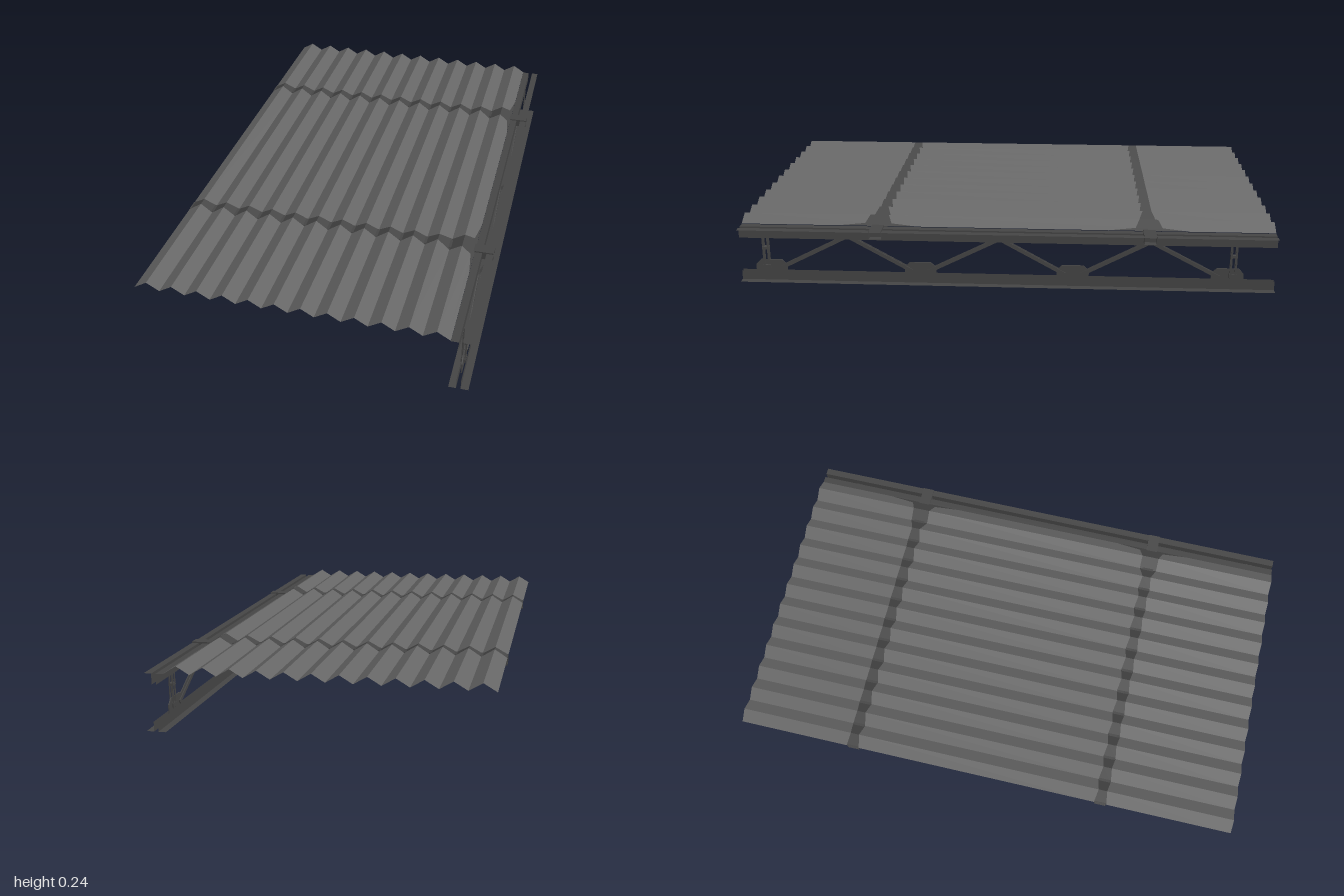
import * as THREE from 'three';

const steel = new THREE.MeshStandardMaterial({ color: 0x464646, side: THREE.DoubleSide, flatShading: true });
steel.name = 'dark steel';
const sheetGrey = new THREE.MeshStandardMaterial({ color: 0x666666, side: THREE.DoubleSide, flatShading: true });
sheetGrey.name = 'sheet grey';

const TRUSS_X = 0.565;
const PURLIN_Z = [0.48, -0.535];

function add(group, name, geometry, material) {
  const mesh = new THREE.Mesh(geometry, material);
  mesh.name = name;
  group.add(mesh);
  return mesh;
}

// Rectangular plate with centre and size; thin sides make folded sheet steel
function plate(group, name, size, pos) {
  return add(group, name, new THREE.BoxGeometry(...size), steel).position.set(...pos);
}

// Open surface from quads given as four corners
function quadSurface(quads) {
  const pos = [];
  for (const [a, b, c, d] of quads) pos.push(...a, ...b, ...c, ...a, ...c, ...d);
  const g = new THREE.BufferGeometry();
  g.setAttribute('position', new THREE.Float32BufferAttribute(pos, 3));
  g.computeVertexNormals();
  return g;
}

// Open-ended surface swept between two z positions from an x,y polyline
function sweepZ(points) {
  const quads = [];
  for (let i = 0; i + 1 < points.length; i++) {
    const [a, b] = [points[i], points[i + 1]];
    quads.push([[...a, 1], [...b, 1], [...b, -1], [...a, -1]]);
  }
  return quadSurface(quads);
}

// Zigzag roof sheet with a dark weathered band above each purlin
function roofSheet() {
  const group = new THREE.Group();
  group.name = 'roofSheet';
  const strips = 24, x0 = -0.6, x1 = 0.53, step = (x1 - x0) / strips;
  const stations = [];
  for (let i = 0; i <= strips; i++) {
    let half = i % 2 ? 0.017 : 0.025;
    if (i >= strips - 2) half = 0.035;
    if (i === strips) half = 0.15;
    stations.push({ x: x0 + i * step, y: i % 2 ? 0.237 : 0.209, half });
    if (i === strips - 1) stations.push({ x: x1 - 0.012, y: 0.216, half: 0.05 });
  }
  const light = [], dark = [];
  const breaks = (s) => [1, ...PURLIN_Z.flatMap((z) => [z + s.half, z - s.half]), -1];
  for (let i = 0; i + 1 < stations.length; i++) {
    const a = stations[i], b = stations[i + 1];
    const za = breaks(a), zb = breaks(b);
    for (let k = 0; k < 5; k++) {
      (k % 2 ? dark : light).push([
        [a.x, a.y, za[k]], [b.x, b.y, zb[k]], [b.x, b.y, zb[k + 1]], [a.x, a.y, za[k + 1]],
      ]);
    }
  }
  add(group, 'corrugatedSheet', quadSurface(light), sheetGrey);
  add(group, 'weatheredBands', quadSurface(dark), steel);
  return group;
}

// Purlin: open-ended box section across the roof
function purlin(z) {
  const group = new THREE.Group();
  group.name = 'purlin';
  const h = 0.023, yb = 0.181, yt = 0.212, c = [[yb, z - h], [yb, z + h], [yt, z + h], [yt, z - h]];
  const quads = c.map((p, i) => {
    const q = c[(i + 1) % 4];
    return [[-0.6, ...p], [-0.6, ...q], [0.6, ...q], [0.6, ...p]];
  });
  add(group, 'purlinShell', quadSurface(quads), steel);
  return group;
}

// Chord: two angles back to back with a slit between them
function chord(name, webY, flangeY) {
  const group = new THREE.Group();
  group.name = name;
  for (const s of [-1, 1]) {
    const web = TRUSS_X + s * 0.008, edge = TRUSS_X + s * 0.035;
    add(group, 'angle', sweepZ([[web, webY], [web, flangeY], [edge, flangeY]]), steel);
  }
  return group;
}

// Chamfered plate joining the web bars to the bottom chord
function gusset(z) {
  const outline = [[-0.06, 0.02], [0.06, 0.02], [0.06, 0.06], [0.04, 0.08], [-0.04, 0.08], [-0.06, 0.06]];
  const shape = new THREE.Shape(outline.map(([u, v]) => new THREE.Vector2(z + u, v)));
  const g = new THREE.ExtrudeGeometry(shape, { depth: 0.004, bevelEnabled: false });
  g.rotateY(-Math.PI / 2);
  g.translate(TRUSS_X + 0.002, 0, 0);
  return g;
}

// Pair of flat bars between two z,y points
function barPair(group, name, [z0, y0], [z1, y1]) {
  const length = Math.hypot(z1 - z0, y1 - y0);
  for (const s of [-1, 1]) {
    const bar = add(group, name, new THREE.BoxGeometry(0.003, 0.014, length), steel);
    bar.position.set(TRUSS_X + s * 0.005, (y0 + y1) / 2, (z0 + z1) / 2);
    bar.rotation.x = -Math.atan2(y1 - y0, z1 - z0);
  }
}

function truss() {
  const group = new THREE.Group();
  group.name = 'truss';
  group.add(chord('topChord', 0.168, 0.207), chord('bottomChord', 0.035, 0));

  const feet = [0.885, 0.318, -0.254, -0.826];
  const peaks = [0.59, 0.02, -0.54];
  for (const z of feet) add(group, 'gusset', gusset(z), steel);
  peaks.forEach((z, i) => {
    barPair(group, 'diagonal', [feet[i] - 0.03, 0.045], [z + 0.01, 0.175]);
    barPair(group, 'diagonal', [feet[i + 1] + 0.03, 0.045], [z - 0.01, 0.175]);
  });

  // End posts: twin bars with a spacer halfway up
  for (const z of [0.903, -0.846]) {
    for (const dz of [-0.009, 0.009]) {
      for (const dx of [-0.006, 0.006]) {
        plate(group, 'endPost', [0.003, 0.14, 0.007], [TRUSS_X + dx, 0.11, z + dz]);
      }
    }
    plate(group, 'postSpacer', [0.017, 0.01, 0.025], [TRUSS_X, 0.128, z]);
    plate(group, 'postFoot', [0.017, 0.016, 0.03], [TRUSS_X, 0.052, z]);
  }
  return group;
}

export function createModel() {
  const model = new THREE.Group();
  model.name = 'roofSection';
  model.add(roofSheet(), truss(), ...PURLIN_Z.map(purlin));
  return model;
}
